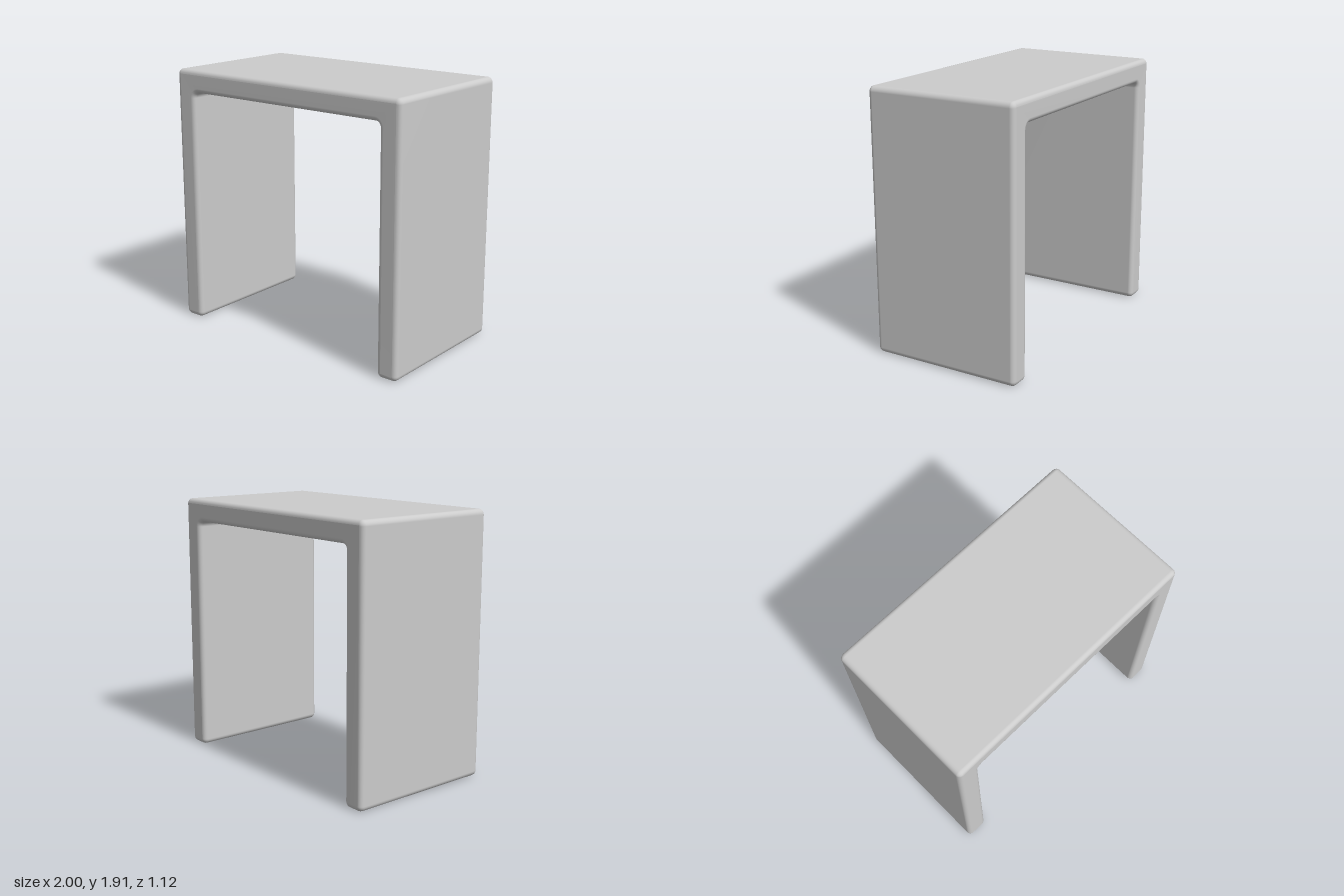
import * as THREE from 'three';
import { mergeVertices } from 'three/addons/utils/BufferGeometryUtils.js';

// Closed outline whose corners are all rounded with radius r
function roundedOutline(points, r) {
  const shape = new THREE.Shape();
  const k = 0.5523; // handle length that makes a Bezier a quarter circle
  points.forEach((p, i) => {
    const prev = points[(i + points.length - 1) % points.length];
    const next = points[(i + 1) % points.length];
    const toward = (q, d) => p.clone().add(q.clone().sub(p).setLength(d));
    const a = toward(prev, r), b = toward(next, r);
    const c1 = toward(prev, r * (1 - k)), c2 = toward(next, r * (1 - k));
    if (i === 0) shape.moveTo(a.x, a.y); else shape.lineTo(a.x, a.y);
    shape.bezierCurveTo(c1.x, c1.y, c2.x, c2.y, b.x, b.y);
  });
  shape.closePath();
  return shape;
}

export function createModel() {
  const group = new THREE.Group();
  group.name = 'sideTable';

  const height = 1.915, underside = 1.75, inner = 0.835, depth = 1.125;
  const radius = 0.04, bevel = 0.034;

  // Top and both side panels as one continuous arch profile
  const profile = [
    [-1, 0], [-inner, 0], [-inner, underside], [inner, underside],
    [inner, 0], [1, 0], [1, height], [-1, height],
  ].map(([x, y]) => new THREE.Vector2(x, y));

  let geometry = new THREE.ExtrudeGeometry(roundedOutline(profile, radius), {
    depth: depth - 2 * bevel,
    curveSegments: 6,
    bevelEnabled: true,
    bevelSize: bevel,
    bevelThickness: bevel,
    bevelOffset: -bevel,
    bevelSegments: 5,
  });
  geometry.translate(0, 0, -depth / 2 + bevel);

  // Shared vertices give smooth rounded edges, with flat panels dominating the normals
  geometry.deleteAttribute('uv');
  geometry.deleteAttribute('normal');
  geometry = mergeVertices(geometry, 1e-5);
  geometry.computeVertexNormals();

  const frame = new THREE.Mesh(geometry, new THREE.MeshStandardMaterial({ color: 0xcccccc }));
  frame.name = 'waterfallFrame';
  group.add(frame);
  return group;
}
